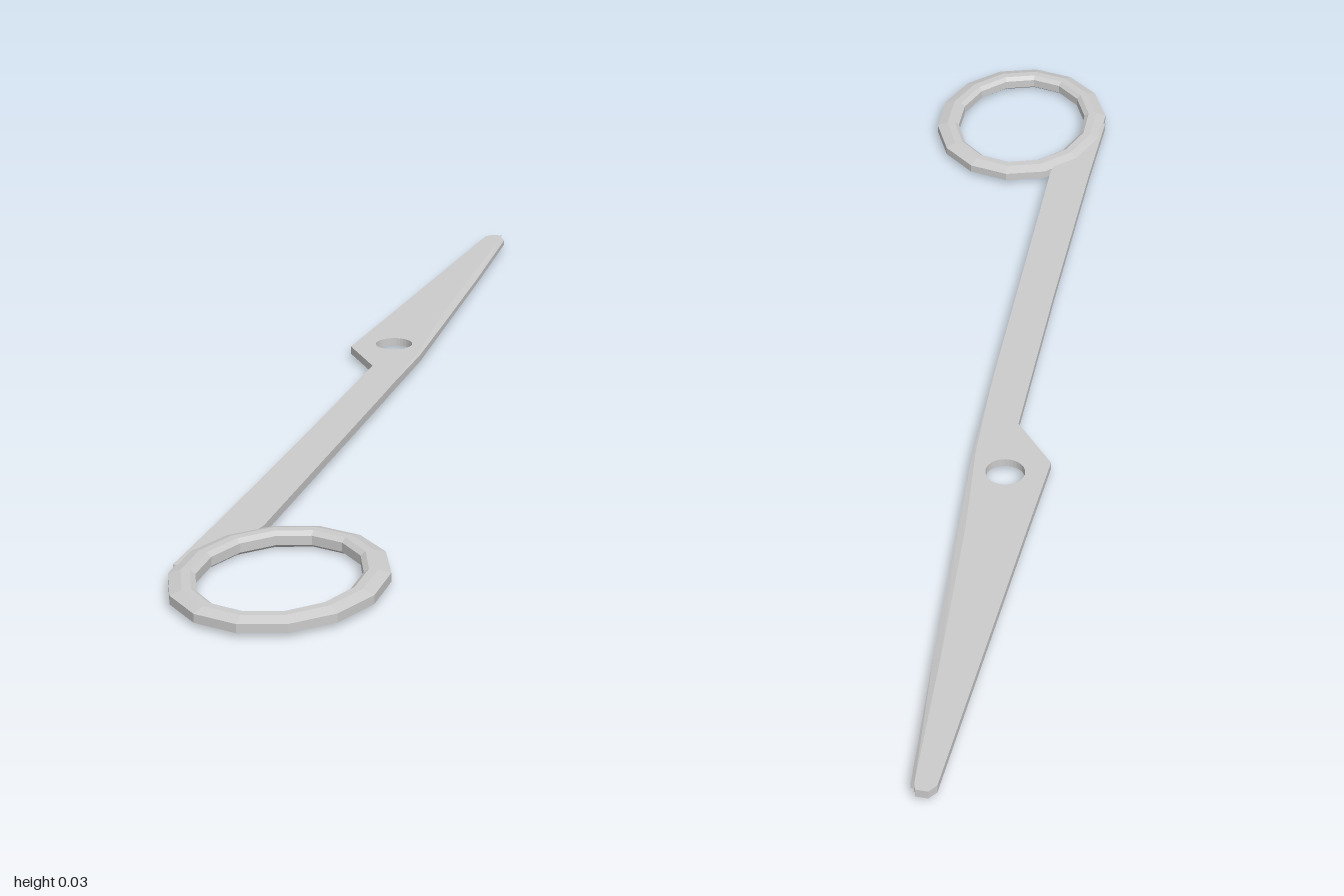
import * as THREE from 'three';

const V = (x, y) => new THREE.Vector2(x, y);

export function createModel() {
  const group = new THREE.Group();
  const metal = new THREE.MeshStandardMaterial({ color: 0xcccccc, flatShading: true });
  const add = (name, geometry) => {
    const mesh = new THREE.Mesh(geometry, metal);
    mesh.name = name;
    group.add(mesh);
  };
  const low = 0.008, high = 0.022;

  // Cutting edge: [z, ridge x, edge x, edge top height], from shank to tip
  const cut = [
    [-0.05, -0.073, -0.073, high],
    [-0.22, -0.086, -0.081, 0.02],
    [-0.42, -0.113, -0.101, 0.018],
    [-0.72, -0.143, -0.131, 0.017],
    [-0.985, -0.166, -0.16, 0.017],
  ];

  // Flat blade and shank, with the pivot hole (points are x, z)
  const outline = [
    [-0.11, 0.83], [-0.09, 0.83], [-0.08, 0.75], [-0.045, 0.68], [-0.04, 0.64],
    [-0.056, 0.3], [-0.07, 0],
    ...cut.map(([z, x]) => [x, z]),
    [-0.17, -1], [-0.19, -1], [-0.2, -0.985],
    [-0.21, -0.4], [-0.214, -0.22], [-0.14, -0.13],
    [-0.125, 0.25], [-0.113, 0.65],
  ];
  const shape = new THREE.Shape(outline.map(([x, z]) => V(x, -z)));
  const hole = new THREE.Path();
  hole.absarc(-0.145, 0.26, 0.033, 0, Math.PI * 2, true);
  shape.holes.push(hole);
  const blade = new THREE.ExtrudeGeometry(shape, { depth: high - low, bevelEnabled: false, curveSegments: 16 });
  blade.rotateX(-Math.PI / 2).translate(0, low, 0);
  add('bladeAndShank', blade);

  // Ground bevel beside the blade, lofted from four-cornered sections
  const pos = [], index = [];
  cut.forEach(([z, ridge, edge, top], i) => {
    pos.push(ridge, high, z, edge, top, z, edge, low, z, ridge, low, z);
    if (i === 0) return;
    for (let k = 0; k < 3; k++) {
      const a = (i - 1) * 4 + k, b = i * 4 + k;
      index.push(a, a + 1, b, b, a + 1, b + 1);
    }
  });
  const e = (cut.length - 1) * 4;
  index.push(e, e + 1, e + 2, e, e + 2, e + 3);
  const bevel = new THREE.BufferGeometry();
  bevel.setAttribute('position', new THREE.Float32BufferAttribute(pos, 3));
  bevel.setIndex(index);
  bevel.computeVertexNormals();
  add('cuttingEdge', bevel);

  // Finger ring: faceted band, stretched lengthwise at constant width
  const band = [
    V(0.121, 0.006), V(0.129, 0), V(0.143, 0), V(0.162, 0.007),
    V(0.162, 0.021), V(0.143, 0.027), V(0.129, 0.027), V(0.121, 0.021), V(0.121, 0.006),
  ];
  const ring = new THREE.LatheGeometry(band, 14, 0.06);
  const p = ring.attributes.position;
  for (let i = 0; i < p.count; i++) {
    const x = p.getX(i), z = p.getZ(i);
    p.setZ(i, z + 0.031 * z / Math.hypot(x, z));
  }
  ring.translate(0.051, 0, 0.807);
  ring.computeVertexNormals();
  add('fingerRing', ring);

  return group;
}
